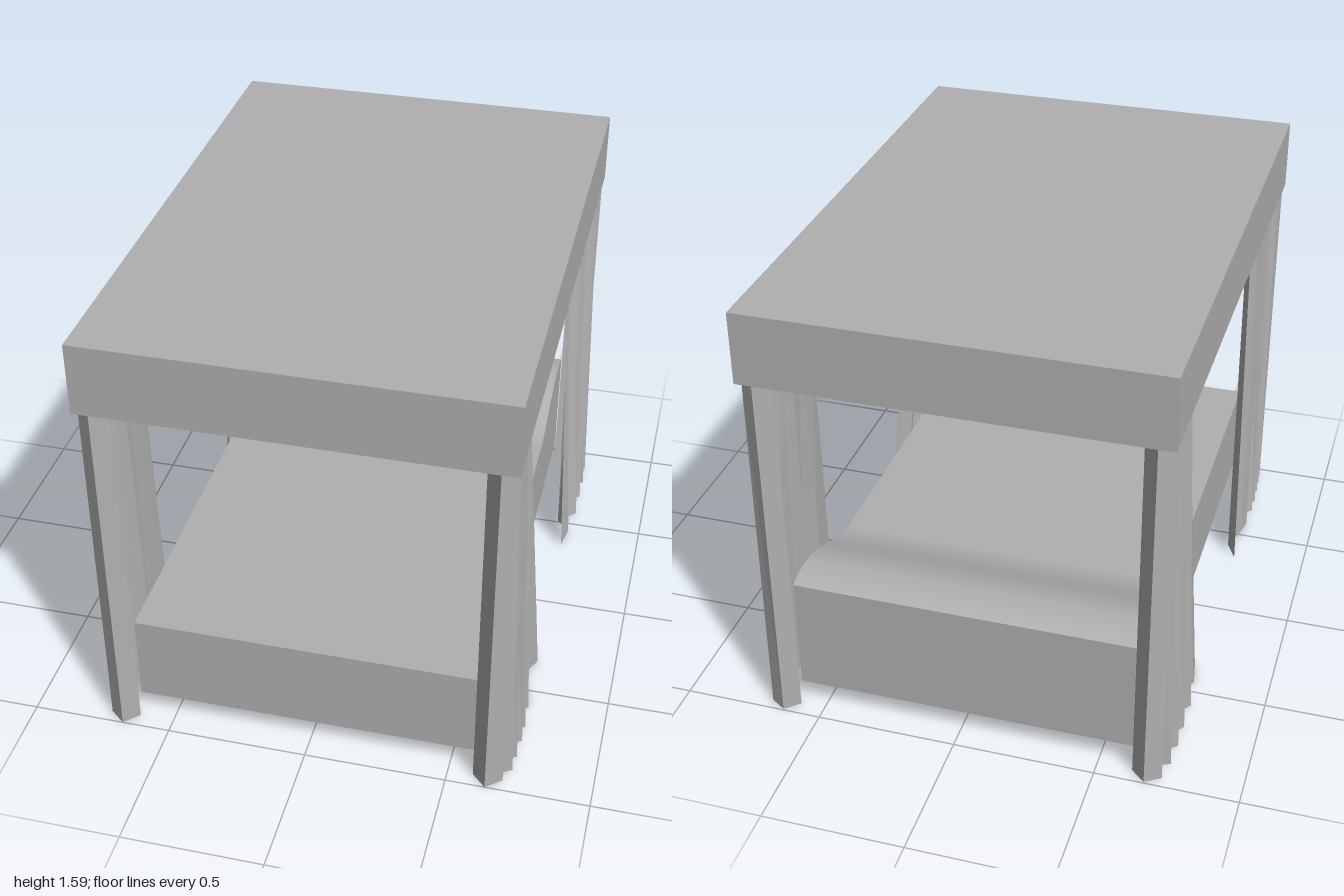
import * as THREE from 'three';

const fabric = new THREE.MeshStandardMaterial({ color: 0xb0b0b0, side: THREE.DoubleSide });
fabric.name = 'plain grey fabric';

// Ruled strip between two rows of points, smooth or with sharp folds
function strip(name, rowA, rowB, smooth = false) {
  let geo = new THREE.BufferGeometry();
  geo.setAttribute('position', new THREE.Float32BufferAttribute([...rowA, ...rowB].flat(), 3));
  const n = rowA.length, index = [];
  for (let i = 0; i < n - 1; i++) index.push(i, i + 1, n + i, i + 1, n + i + 1, n + i);
  geo.setIndex(index);
  if (!smooth) geo = geo.toNonIndexed();
  geo.computeVertexNormals();
  const mesh = new THREE.Mesh(geo, fabric);
  mesh.name = name;
  return mesh;
}

// Box-like cover open underneath; profile lists [z, y] from front to back
function cover(name, profile, halfWidth, bottom) {
  const group = new THREE.Group();
  group.name = name;
  const row = (x, drop) => profile.map(([z, y]) => [x, drop ? bottom : y, z]);
  const w = halfWidth;
  group.add(strip(name + 'Top', row(w), row(-w), true));
  group.add(strip(name + 'LeftSide', row(w, true), row(w)));
  group.add(strip(name + 'RightSide', row(-w), row(-w, true)));
  const [zf, yf] = profile[0], [zb, yb] = profile[profile.length - 1];
  group.add(strip(name + 'Front', [[-w, yf, zf], [w, yf, zf]], [[-w, bottom, zf], [w, bottom, zf]]));
  group.add(strip(name + 'Back', [[w, yb, zb], [-w, yb, zb]], [[w, bottom, zb], [-w, bottom, zb]]));
  return group;
}

// Fold points: [outward top, z top, outward bottom, z bottom]
const frontFolds = [
  [.605, .95, .605, .95], [.655, 1, .655, 1], [.708, .955, .71, .955],
  [.655, .94, .665, .93], [.70, .91, .715, .90], [.65, .87, .665, .86],
  [.70, .855, .72, .835], [.645, .80, .665, .79], [.70, .785, .725, .755],
  [.645, .76, .665, .72], [.695, .735, .725, .685], [.65, .725, .67, .63],
  [.69, .665, .72, .585], [.68, .60, .71, .53], [.64, .585, .675, .42], [.665, .525, .715, .34],
];
const backFolds = [
  [.605, .95, .605, .95], [.655, .995, .655, .995], [.708, .955, .71, .96],
  [.65, .92, .665, .91], [.70, .89, .725, .885], [.65, .865, .665, .84],
  [.70, .82, .73, .79], [.645, .78, .665, .77], [.695, .75, .73, .69],
  [.645, .71, .665, .65], [.69, .665, .73, .575], [.64, .65, .665, .51],
  [.675, .63, .715, .45], [.635, .56, .70, .36],
];

function curtain(name, folds, sx, sz) {
  // the left pair flares a little further outwards
  const flare = sx > 0 ? .02 : 0;
  const top = folds.map(([o, z]) => [sx * o, 1.345, sz * z]);
  const low = folds.map(([, , o, z], i) => [sx * (o + (i > 2 ? flare : 0)), 0, sz * z]);
  return sx * sz > 0 ? strip(name, low, top) : strip(name, top, low);
}

export function createModel() {
  const model = new THREE.Group();
  model.name = 'canopyBed';

  // Canopy with a deep valance
  model.add(cover('canopy', [[1, 1.59], [-1, 1.59]], .7125, 1.335));

  // Bedspread rising over a full-width pillow at the back
  const profile = [[.924, .418], [-.42, .418]];
  for (let i = 1; i <= 14; i++) {
    const t = i / 14;
    profile.push([-.42 - .39 * t, .418 + .115 * t * t * (3 - 2 * t)]);
  }
  profile.push([-.85, .532], [-.89, .527], [-.93, .513]);
  model.add(cover('bedspread', profile, .605, .09));

  // Four pleated corner curtains
  for (const sx of [1, -1]) {
    const side = sx > 0 ? 'Left' : 'Right';
    model.add(curtain('front' + side + 'Curtain', frontFolds, sx, 1));
    model.add(curtain('back' + side + 'Curtain', backFolds, sx, -1));
  }

  for (const part of model.children) part.position.x = -.0175;
  return model;
}
